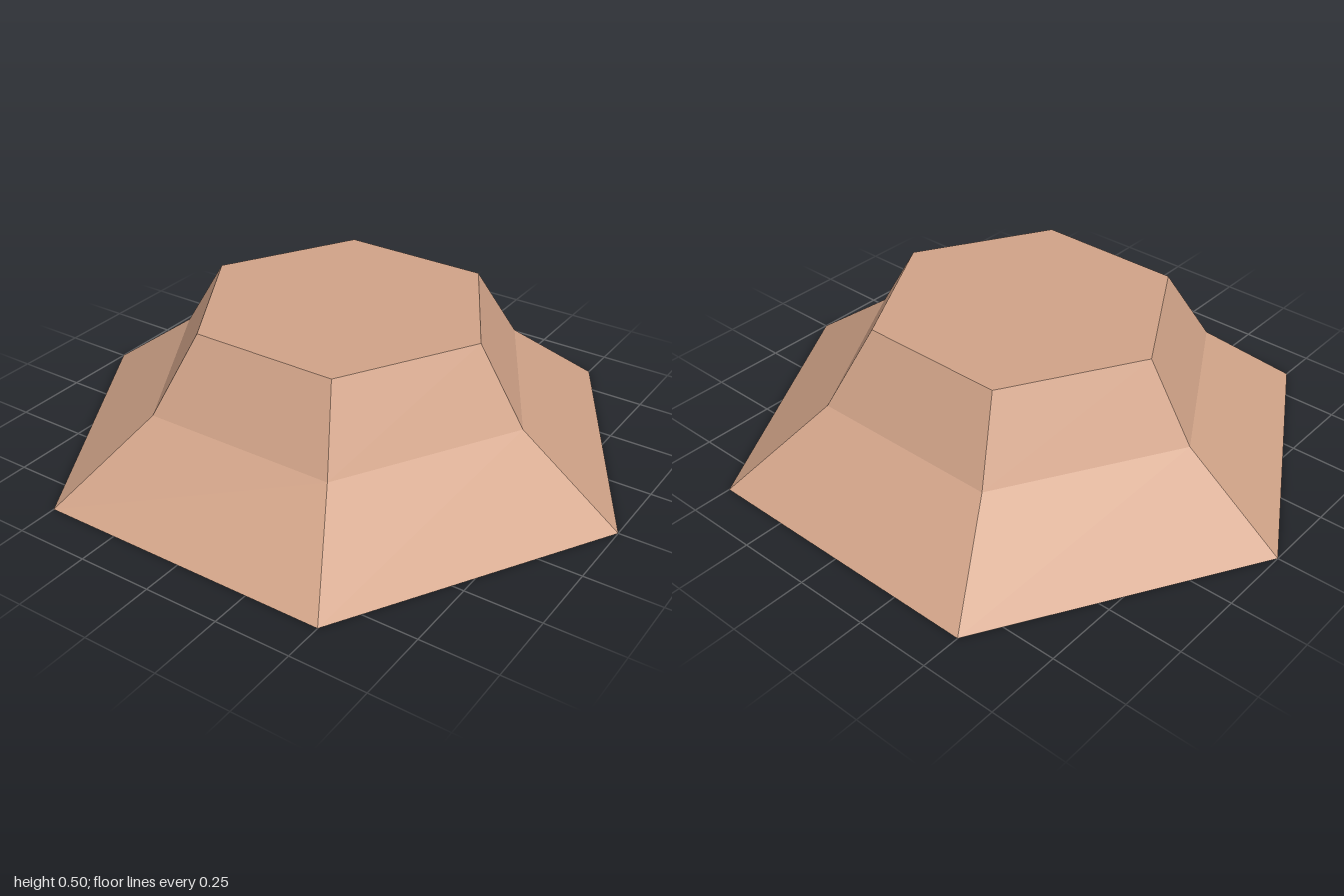
import * as THREE from 'three';

// Hexagonal ring of sloping flat faces between two heights, corners on the x axis
function hexFrustum(name, rTop, rBottom, y0, y1, material) {
  const geometry = new THREE.CylinderGeometry(rTop, rBottom, y1 - y0, 6, 1, true, Math.PI / 2).toNonIndexed();
  geometry.computeVertexNormals();
  const mesh = new THREE.Mesh(geometry, material);
  mesh.name = name;
  mesh.position.y = (y0 + y1) / 2;
  return mesh;
}

// Flat hexagon closing an end, facing up (1) or down (-1)
function hexCap(name, radius, y, facing, material) {
  const mesh = new THREE.Mesh(new THREE.CircleGeometry(radius, 6), material);
  mesh.name = name;
  mesh.rotation.x = -facing * Math.PI / 2;
  mesh.position.y = y;
  return mesh;
}

export function createModel() {
  const clay = new THREE.MeshStandardMaterial({ color: 0xd2a489 });
  clay.name = 'clay';

  const group = new THREE.Group();
  group.name = 'hexagonalMound';
  group.add(
    hexFrustum('lowerSlope', 0.66, 1, 0, 0.25, clay),
    hexFrustum('upperSlope', 0.5, 0.66, 0.25, 0.5, clay),
    hexCap('topFace', 0.5, 0.5, 1, clay),
    hexCap('underside', 1, 0, -1, clay),
  );
  return group;
}
